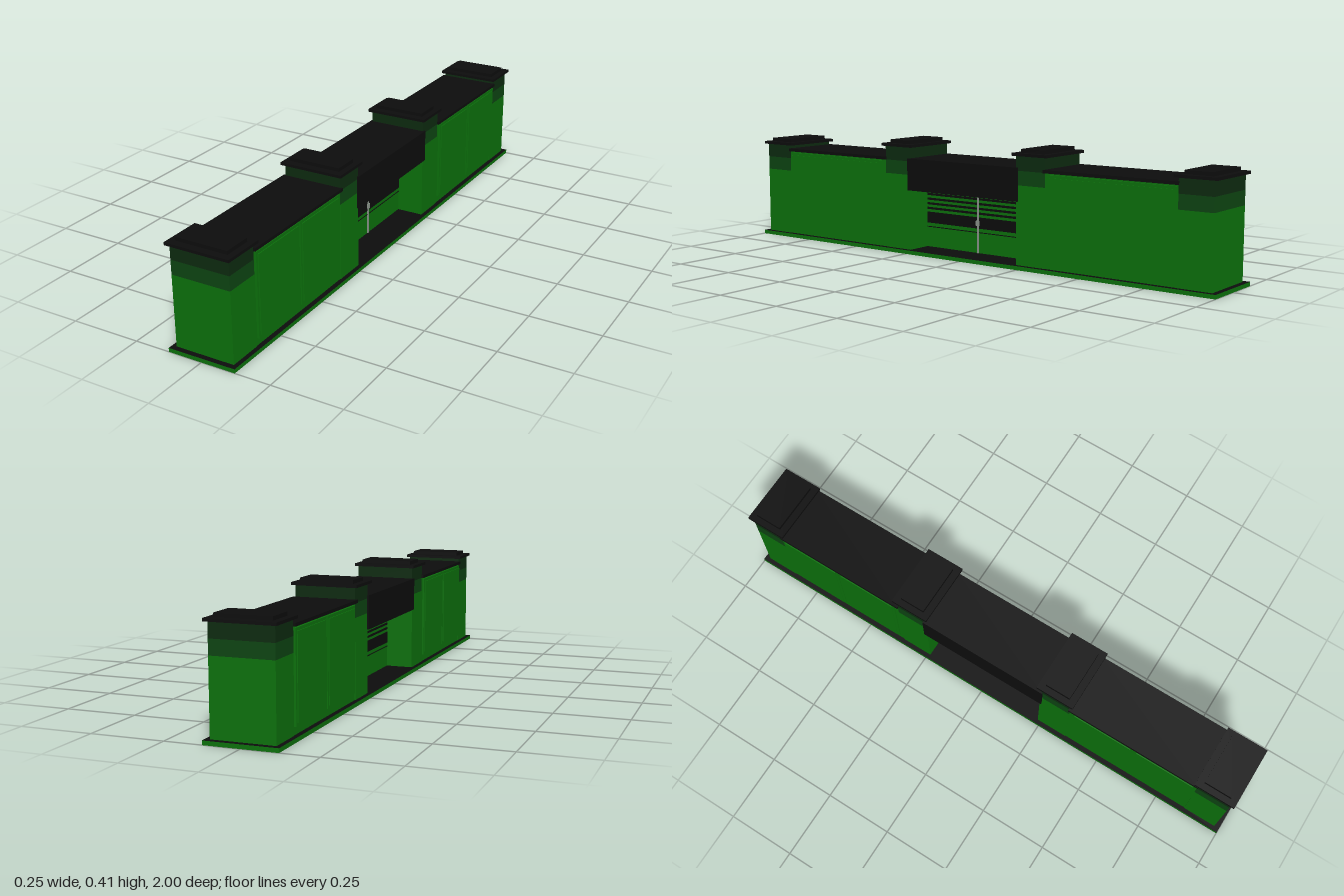
import * as THREE from 'three';

const mat = (name, color) => {
  const m = new THREE.MeshStandardMaterial({ color });
  m.name = name;
  return m;
};

export function createModel() {
  const green = mat('green', 0x0c720c);
  const midGreen = mat('mid green', 0x0d4512);
  const darkGreen = mat('dark green', 0x0d2b10);
  const black = mat('black', 0x0d0d0d);
  const grey = mat('grey', 0x8a948a);
  const model = new THREE.Group();
  model.name = 'gatehouseWall';

  // Box centred on x, given half width, y range and z range
  const slab = (parent, name, material, half, y0, y1, z0, z1) => {
    const mesh = new THREE.Mesh(new THREE.BoxGeometry(half * 2, y1 - y0, z1 - z0), material);
    mesh.position.set(0, (y0 + y1) / 2, (z0 + z1) / 2);
    mesh.name = name;
    parent.add(mesh);
    return mesh;
  };

  // Plinth: green edge, black top and underside
  slab(model, 'plinth', [green, green, black, black, green, green], 0.123, 0, 0.014, -1, 1);

  // Pillar with graded bands and a two-step cap
  const pillar = (name, z0, z1, lift) => {
    const g = new THREE.Group();
    g.name = name;
    slab(g, 'pillarShaft', green, 0.107, 0.014, 0.263 + lift, z0, z1);
    slab(g, 'lowerBand', midGreen, 0.107, 0.263 + lift, 0.313 + lift, z0, z1);
    slab(g, 'upperBand', darkGreen, 0.107, 0.313 + lift, 0.364 + lift, z0, z1);
    slab(g, 'capPlate', black, 0.117, 0.364 + lift, 0.374 + lift, z0 - 0.013, z1 + 0.013);
    slab(g, 'capTop', black, 0.095, 0.374 + lift, 0.387 + lift, z0 + 0.012, z1 - 0.012);
    model.add(g);
  };

  for (const s of [1, -1]) {
    const range = (a, b) => (s > 0 ? [a, b] : [-b, -a]);
    pillar('endPillar', ...range(0.857, 0.981), 0);
    pillar('gatePillar', ...range(0.238, 0.355), 0.028);

    // Wall between the pillars, with its coping
    slab(model, 'wall', green, 0.105, 0.014, 0.341, ...range(0.35, 0.86));
    slab(model, 'coping', black, 0.115, 0.341, 0.352, ...range(0.352, 0.859));

    // Two raised panels, showing on both faces of the wall
    for (const z of [0.37, 0.614]) {
      slab(model, 'panelFrame', green, 0.112, 0.04, 0.336, ...range(z, z + 0.238));
      slab(model, 'panelField', green, 0.115, 0.05, 0.326, ...range(z + 0.009, z + 0.229));
    }
  }

  // Deep lintel over the opening
  slab(model, 'lintel', black, 0.113, 0.235, 0.352, -0.246, 0.246);

  // Shutter in the middle of the passage
  slab(model, 'shutter', green, 0.008, 0.014, 0.236, -0.239, 0.239);
  const strips = [[0.088, 0.091], [0.104, 0.145]];
  for (let i = 0; i < 5; i++) strips.push([0.155 + i * 0.0175, 0.163 + i * 0.0175]);
  for (const [y0, y1] of strips) slab(model, 'shutterStrip', black, 0.0095, y0, y1, -0.238, 0.238);

  // Centre post with its latch
  slab(model, 'centrePost', grey, 0.012, 0.014, 0.236, -0.003, 0.003);
  slab(model, 'latch', grey, 0.016, 0.115, 0.133, -0.006, 0.006);
  return model;
}
